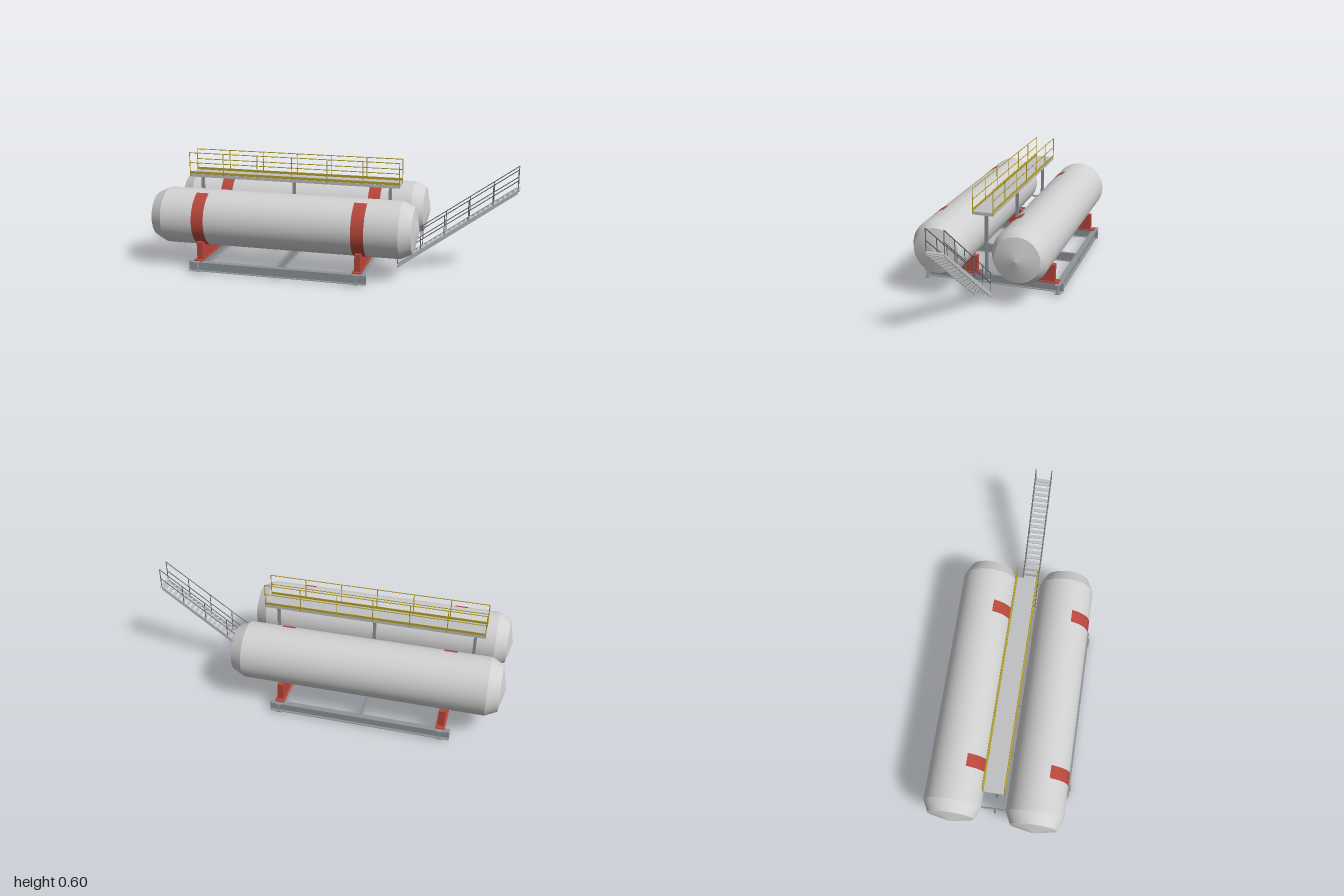
import * as THREE from 'three';
import { toCreasedNormals } from 'three/addons/utils/BufferGeometryUtils.js';

const mat = (name, color) => {
  const m = new THREE.MeshStandardMaterial({ color });
  m.name = name;
  return m;
};

export function createModel() {
  const model = new THREE.Group();
  const shell = mat('tank light grey', 0xd0d1d0);
  const red = mat('saddle red', 0xb8473c);
  const steel = mat('frame steel grey', 0x8e9499);
  const deckGrey = mat('deck pale grey', 0xbfc1c2);
  const railGrey = mat('rail dark grey', 0x6f7274);
  const yellow = mat('safety yellow', 0xb9a32c);

  const add = (parent, name, geometry, material) => {
    const m = new THREE.Mesh(geometry, material);
    m.name = name;
    parent.add(m);
    return m;
  };
  const group = (name, parent = model) => {
    const g = new THREE.Group();
    g.name = name;
    parent.add(g);
    return g;
  };
  const box = (parent, name, material, w, h, d, x, y, z) =>
    add(parent, name, new THREE.BoxGeometry(w, h, d), material).position.set(x, y, z);
  // Round bar between two points
  const rod = (parent, name, material, a, b, r) => {
    const p = new THREE.Vector3(...a), q = new THREE.Vector3(...b);
    const dir = q.clone().sub(p);
    const m = add(parent, name, new THREE.CylinderGeometry(r, r, dir.length(), 8), material);
    m.position.copy(p).add(q).multiplyScalar(0.5);
    m.quaternion.setFromUnitVectors(new THREE.Vector3(0, 1, 0), dir.normalize());
  };
  // Shape in the z-y plane, extruded along x and centred on x = 0
  const extrudeX = (shape, depth) => new THREE.ExtrudeGeometry(shape,
    { depth, bevelEnabled: false, curveSegments: 32 })
    .translate(0, 0, -depth / 2).rotateY(-Math.PI / 2);
  // I-section along x, standing on y = 0
  const beam = (length, w, h, t) => {
    const s = new THREE.Shape();
    const half = [[w / 2, 0], [w / 2, t], [t / 2, t], [t / 2, h - t], [w / 2, h - t], [w / 2, h]];
    const pts = [...half, ...half.map(([a, b]) => [-a, b]).reverse()];
    s.setFromPoints(pts.map(p => new THREE.Vector2(...p)));
    return extrudeX(s, length);
  };

  const R = 0.155, TANK_Y = 0.277, TANK_Z = 0.221;
  const saddleX = [-0.692, 0.193];

  // Tank shell with chamfered, shallow conical heads
  const profile = [[0, -1], [0.124, -0.972], [R, -0.908], [R, 0.408], [0.124, 0.472], [0, 0.5]]
    .map(p => new THREE.Vector2(...p));
  const tankGeo = toCreasedNormals(
    new THREE.LatheGeometry(profile, 64).rotateZ(-Math.PI / 2), 0.2);

  // Saddle with a curved seat
  const saddleShape = new THREE.Shape();
  const seat = Math.acos(0.107 / R);
  saddleShape.moveTo(-0.132, 0.068);
  saddleShape.lineTo(0.132, 0.068);
  saddleShape.lineTo(0.132, 0.165);
  saddleShape.lineTo(0.107, 0.165);
  saddleShape.absarc(0, TANK_Y, R, -seat, -Math.PI + seat, true);
  saddleShape.lineTo(-0.132, 0.165);
  const saddleGeo = extrudeX(saddleShape, 0.032);

  // Wear band around the front half of a tank
  const bandShape = new THREE.Shape();
  const b0 = THREE.MathUtils.degToRad(-109), b1 = THREE.MathUtils.degToRad(71);
  bandShape.absarc(0, TANK_Y, R + 0.001, b0, b1, false);
  bandShape.absarc(0, TANK_Y, R - 0.003, b1, b0, true);
  const bandGeo = toCreasedNormals(extrudeX(bandShape, 0.069), 0.3);

  for (const s of [1, -1]) {
    const tank = group(s > 0 ? 'frontTank' : 'backTank');
    tank.position.z = s * TANK_Z;
    add(tank, 'shell', tankGeo, shell).position.y = TANK_Y;
    for (const x of saddleX) {
      add(tank, 'saddle', saddleGeo, red).position.x = x;
      add(tank, 'wearBand', bandGeo, red).position.x = x;
      box(tank, 'saddleFoot', red, 0.052, 0.005, 0.31, x, 0.0675, 0);
    }
  }

  // Base frame of I-beams
  const frame = group('baseFrame');
  for (const s of [1, -1])
    add(frame, 'longBeam', beam(0.99, 0.032, 0.052, 0.003), steel).position.set(-0.25, 0.012, s * 0.377);
  for (const x of saddleX) {
    const m = add(frame, 'crossBeam', beam(0.8, 0.032, 0.053, 0.003), steel);
    m.rotation.y = Math.PI / 2;
    m.position.set(x, 0.012, 0);
  }
  const mid = add(frame, 'middleBeam', beam(0.77, 0.018, 0.053, 0.003), steel);
  mid.rotation.y = Math.PI / 2;
  mid.position.set(-0.25, 0.012, 0);

  // Walkway on posts between the tanks
  const walkway = group('walkway');
  const X0 = -0.855, X1 = 0.36, XC = (X0 + X1) / 2;
  box(walkway, 'deck', deckGrey, X1 - X0, 0.004, 0.114, XC, 0.473, 0);
  for (const s of [1, -1]) {
    box(walkway, 'deckEdge', deckGrey, X1 - X0, 0.016, 0.004, XC, 0.466, s * 0.055);
    box(walkway, 'toeBoard', yellow, X1 - X0, 0.014, 0.003, XC, 0.483, s * 0.0565);
    for (const y of [0.54, 0.598])
      rod(walkway, 'handrail', yellow, [X0, y, s * 0.056], [X1, y, s * 0.056], 0.0025);
    for (let i = 0; i < 7; i++) {
      const x = X0 + (X1 - X0) * i / 6;
      rod(walkway, 'railPost', yellow, [x, 0.46, s * 0.056], [x, 0.6, s * 0.056], 0.0025);
    }
  }
  for (const s of [0, 1])
    box(walkway, 'deckEnd', deckGrey, 0.004, 0.016, 0.114, s ? X1 - 0.002 : X0 + 0.002, 0.466, 0);
  for (const x of [-0.802, -0.25, 0.302]) {
    const post = add(walkway, 'supportPost', beam(0.39, 0.016, 0.016, 0.004), steel);
    post.rotation.z = Math.PI / 2;
    post.position.set(x + 0.008, 0.268, 0);
    box(walkway, 'postFoot', steel, 0.032, 0.004, 0.032, x, 0.07, 0);
    box(walkway, 'deckBearer', steel, 0.016, 0.012, 0.1, x, 0.464, 0);
  }

  // Pipes joining the tanks, each with a drain leg
  const piping = group('piping');
  for (const x of [-0.89, -0.58]) {
    rod(piping, 'crossPipe', steel, [x, 0.19, -0.12], [x, 0.19, 0.12], 0.005);
    rod(piping, 'drainLeg', steel, [x, 0.068, 0], [x, 0.19, 0], 0.005);
  }

  // Stairway
  const stairs = group('stairway');
  stairs.position.z = 0.004;
  const SX0 = 0.357, SX1 = 0.99, SY0 = 0.022, SY1 = 0.477;
  const at = (t, dy = 0) => [SX0 + (SX1 - SX0) * t, SY0 + (SY1 - SY0) * t + dy];
  const side = new THREE.Shape();
  side.setFromPoints([at(0, -0.022), at(1, -0.012), at(1, 0.008), at(0, 0.006)]
    .map(p => new THREE.Vector2(...p)));
  const sideGeo = new THREE.ExtrudeGeometry(side, { depth: 0.005, bevelEnabled: false })
    .translate(0, 0, -0.0025);
  for (const s of [1, -1]) {
    const z = s * 0.045;
    add(stairs, 'stringer', sideGeo, deckGrey).position.z = z;
    for (const dy of [0.06, 0.118])
      rod(stairs, 'stairRail', railGrey, [...at(0, dy), z], [...at(1, dy), z], 0.0025);
    for (let i = 0; i < 6; i++)
      rod(stairs, 'stairRailPost', railGrey, [...at(i / 5), z], [...at(i / 5, 0.119), z], 0.0025);
  }
  for (let i = 0; i < 25; i++) {
    const [x, y] = at((i + 0.5) / 25);
    box(stairs, 'tread', deckGrey, 0.019, 0.005, 0.09, x, y - 0.004, 0);
  }
  // Extend the lower end of the stringers to the right-hand limit of the stair
  box(stairs, 'topNosing', deckGrey, 0.02, 0.005, 0.094, 0.99, 0.479, 0);

  return model;
}
